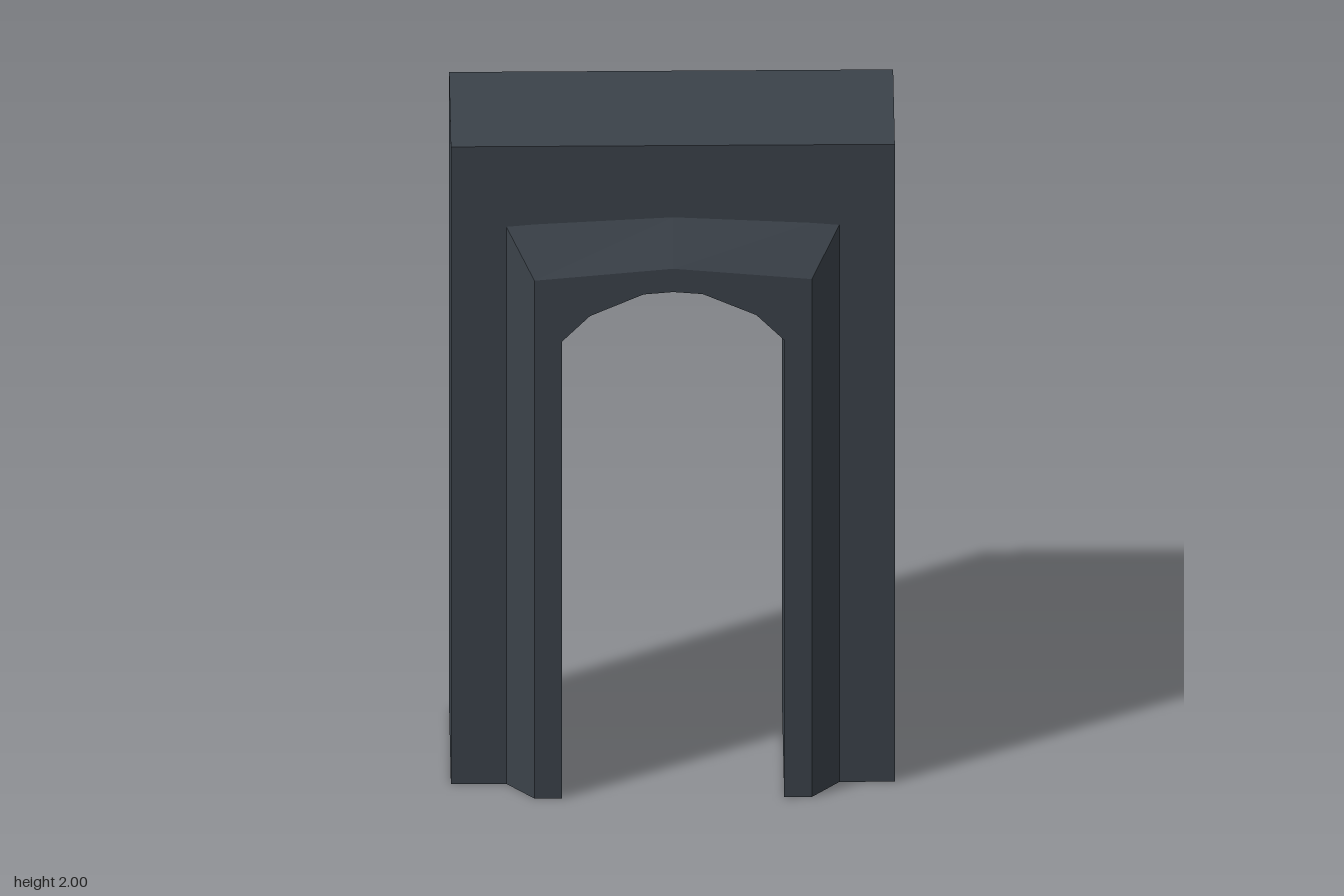
import * as THREE from 'three';

const WALL_FRONT = 0.204, WALL_BACK = -0.194, FRAME = 0.283;

// Inner edge of the opening, left foot to right foot; one spring point sinks towards the back
function opening(z) {
  const sunk = 1.434 - 0.054 * (FRAME - z) / (2 * FRAME);
  return [[-0.3, 0], [-0.3, 1.434], [-0.225, 1.513], [-0.08, 1.58], [0, 1.587],
    [0.08, 1.58], [0.225, 1.513], [0.3, sunk], [0.3, 0]];
}

// Counter-clockwise outline: mirrored outer half plus the opening
function ring(half, z) {
  const mirrored = half.filter(p => p[0] > 0).reverse().map(([x, y]) => [-x, y]);
  return [...half, ...mirrored, ...opening(z)];
}

const wallHalf = [[0.6, 0], [0.6, 2]];
const frameBase = [[0.45, 0], [0.45, 1.625], [0.45, 1.748], [0.375, 1.755], [0, 1.775]];
const frameFace = [[0.375, 0], [0.375, 1.625], [0.375, 1.625], [0.375, 1.625], [0, 1.66]];

// Capped solid between a back outline and a front outline with matching points
function loft(backHalf, zBack, frontHalf, zFront) {
  const back = ring(backHalf, zBack), front = ring(frontHalf, zFront);
  const pos = [];
  const put = (r, z, i) => pos.push(r[i][0], r[i][1], z);
  const cap = r => THREE.ShapeUtils.triangulateShape(r.map(p => new THREE.Vector2(...p)), []);
  for (const t of cap(front)) for (const i of t) put(front, zFront, i);
  for (const [a, b, c] of cap(back)) for (const i of [a, c, b]) put(back, zBack, i);
  for (let i = 0; i < back.length; i++) {
    const j = (i + 1) % back.length;
    put(back, zBack, i); put(back, zBack, j); put(front, zFront, j);
    put(back, zBack, i); put(front, zFront, j); put(front, zFront, i);
  }
  const g = new THREE.BufferGeometry();
  g.setAttribute('position', new THREE.Float32BufferAttribute(pos, 3));
  g.computeVertexNormals();
  return g;
}

export function createModel() {
  const group = new THREE.Group();
  group.name = 'archway';
  const stone = new THREE.MeshStandardMaterial({ color: 0x3b424a });
  stone.name = 'darkSlate';

  const add = (name, geometry) => {
    const mesh = new THREE.Mesh(geometry, stone);
    mesh.name = name;
    group.add(mesh);
  };

  // Main slab with arched opening
  add('wall', loft(wallHalf, WALL_BACK, wallHalf, WALL_FRONT));
  // Bevelled surrounds on both faces
  add('frontFrame', loft(frameBase, WALL_FRONT, frameFace, FRAME));
  add('backFrame', loft(frameFace, -FRAME, frameBase, WALL_BACK));
  return group;
}
